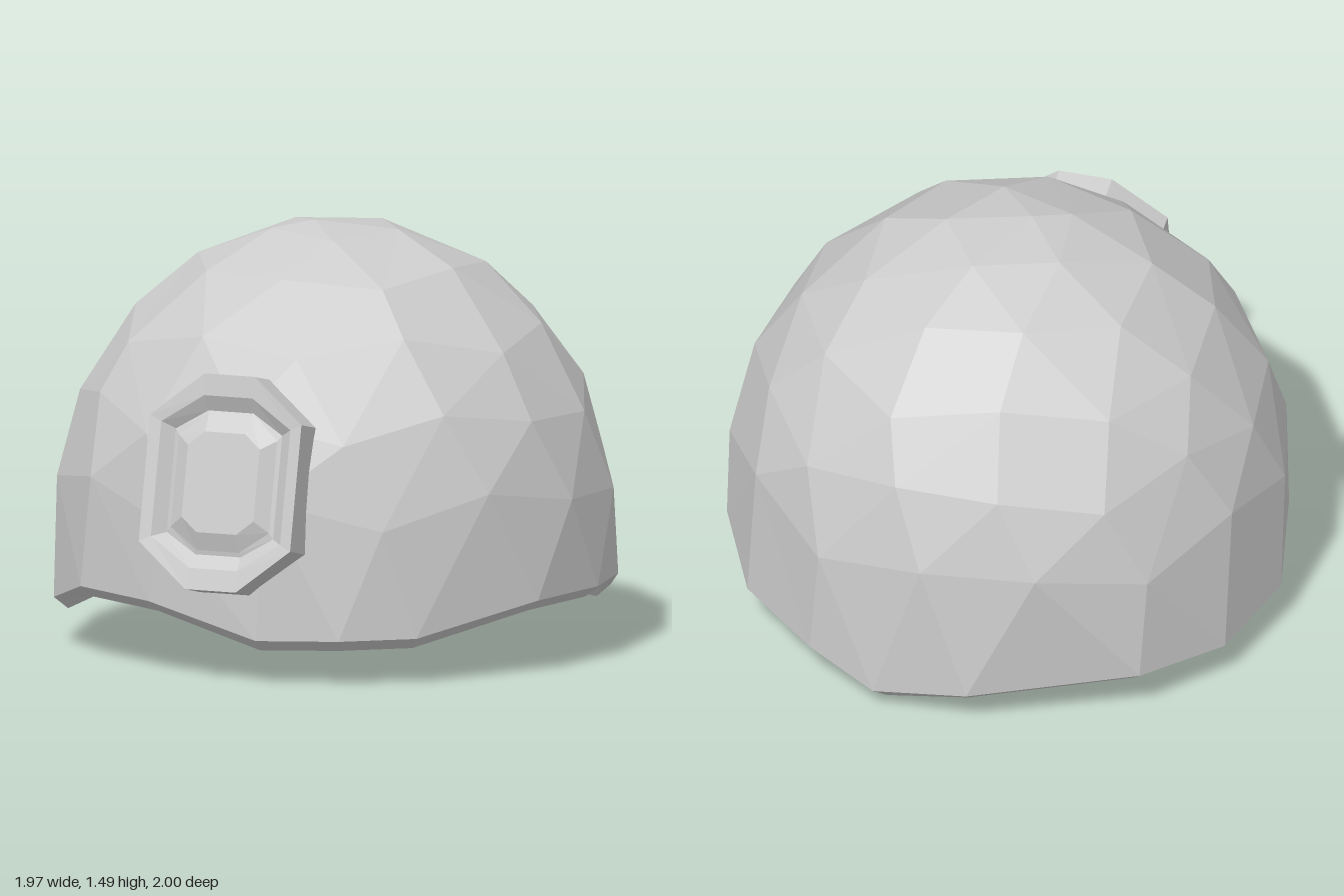
import * as THREE from 'three';

const material = new THREE.MeshStandardMaterial({ color: 0xcccccc, flatShading: true, side: THREE.DoubleSide });
const CENTRE_Z = -0.055;

// Faceted surface through a chain of closed rings; each ring is a list of { t: angle, p: [x, y, z] }
function skin(rings) {
  const pos = [];
  for (let k = 0; k + 1 < rings.length; k++) {
    const A = rings[k], B = rings[k + 1];
    const at = (R, i) => R[i % R.length];
    const angle = (R, i) => at(R, i).t + 360 * Math.floor(i / R.length);
    const stepsA = A.length > 1 ? A.length : 0, stepsB = B.length > 1 ? B.length : 0;
    let i = 0, j = 0;
    while (i < stepsA || j < stepsB) {
      const midA = (angle(A, i) + angle(A, i + 1)) / 2, midB = (angle(B, j) + angle(B, j + 1)) / 2;
      const advanceA = j >= stepsB || (i < stepsA && midA <= midB);
      if (advanceA) pos.push(...at(A, i).p, ...at(A, i + 1).p, ...at(B, j).p), i++;
      else pos.push(...at(A, i).p, ...at(B, j + 1).p, ...at(B, j).p), j++;
    }
  }
  const geo = new THREE.BufferGeometry();
  geo.setAttribute('position', new THREE.Float32BufferAttribute(pos, 3));
  geo.computeVertexNormals();
  return geo;
}

// Point on the dome: angle runs from the front (+z) towards +x
function domePoint(t, y, inset = 0) {
  const a = THREE.MathUtils.degToRad(t);
  const h = Math.max(0, (y - 0.42) / 1.07);
  const r = Math.sqrt(Math.max(0, 1 - h * h));
  return { t, p: [(0.985 * r - inset) * Math.sin(a), y, CENTRE_Z + (0.95 * r - inset) * Math.cos(a)] };
}

function createShell() {
  // Uneven lower edge: angle, height
  const edge = [
    [6, 0.155], [23, 0.16], [39, 0.165], [68, 0.26], [90, 0.26], [107, 0.26], [127, 0.165], [150, 0.15],
    [166, 0.08], [186, 0.14], [222, 0.17], [244, 0.14], [267, 0.16], [297, 0.165], [318, 0.26], [341, 0.26],
  ];
  // Lip: outer edge, lowest ridge, inner edge (deeper at the low point of the back)
  const rim = edge.map(([t, y]) => domePoint(t, y));
  const ridge = edge.map(([t, y]) => (y < 0.1 ? domePoint(t, 0, 0.1) : domePoint(t, y - 0.04, 0.05)));
  const innerRim = edge.map(([t, y]) => (y < 0.1 ? domePoint(t, 0.05, 0.13) : domePoint(t, y, 0.085)));
  // Tall plain strips line the inside
  const innerWall = edge.map(([t]) => domePoint(t, 0.93, 0.06));

  // Staggered rings: count, height, wobble, first angle
  const rings = [
    [15, 0.6, 0.06, 8], [15, 0.88, 0.05, 0], [12, 1.13, 0.04, 12], [9, 1.335, 0.02, 0], [5, 1.455, 0.006, 20],
  ].map(([n, y, wobble, start]) => Array.from({ length: n }, (_, i) =>
    domePoint(start + (i * 360) / n, y + wobble * Math.sin(i * 2.4 + n))));
  const apex = [{ t: 0, p: [-0.06, 1.485, 0] }];

  // Inner crown follows the outer one at a smaller size
  const s = 0.935;
  const innerCrown = [...rings.slice(2), apex].map((ring) => ring.map(({ t, p: [x, y, z] }) =>
    ({ t, p: [x * s, 0.4 + (y - 0.4) * s, CENTRE_Z + (z - CENTRE_Z) * s] })));
  return skin([...innerCrown.reverse(), innerWall, innerRim, ridge, rim, ...rings, apex]);
}

// Eight-sided outline: half width, half height, half top edge, half side edge, depth
function octagon(w, h, top, side, z) {
  const corners = [[top, -h], [w, -side], [w, side], [top, h], [-top, h], [-w, side], [-w, -side], [-top, -h]];
  return corners.map(([x, y], i) => ({ t: i * 45, p: [x, y, z] }));
}

function createModel() {
  const model = new THREE.Group();
  const add = (name, geometry, parent) => {
    const mesh = new THREE.Mesh(geometry, material);
    mesh.name = name;
    parent.add(mesh);
  };
  add('domeShell', createShell(), model);

  // Tilted badge on the front
  const badge = new THREE.Group();
  badge.name = 'frontBadge';
  badge.position.set(-0.02, 0.705, 0.915);
  badge.rotation.x = -0.229;
  model.add(badge);

  const floor = octagon(0.2, 0.25, 0.085, 0.18, -0.04);
  add('badgeFrame', skin([
    octagon(0.285, 0.375, 0.095, 0.22, -0.18),
    octagon(0.285, 0.375, 0.095, 0.22, 0),
    octagon(0.243, 0.3, 0.09, 0.2, -0.005),
    floor,
  ]), badge);
  add('badgeStone', skin([
    floor,
    octagon(0.185, 0.235, 0.08, 0.16, -0.035),
    octagon(0.135, 0.175, 0.075, 0.125, -0.005),
    [{ t: 0, p: [0, 0, -0.005] }],
  ]), badge);
  return model;
}

export { createModel };
